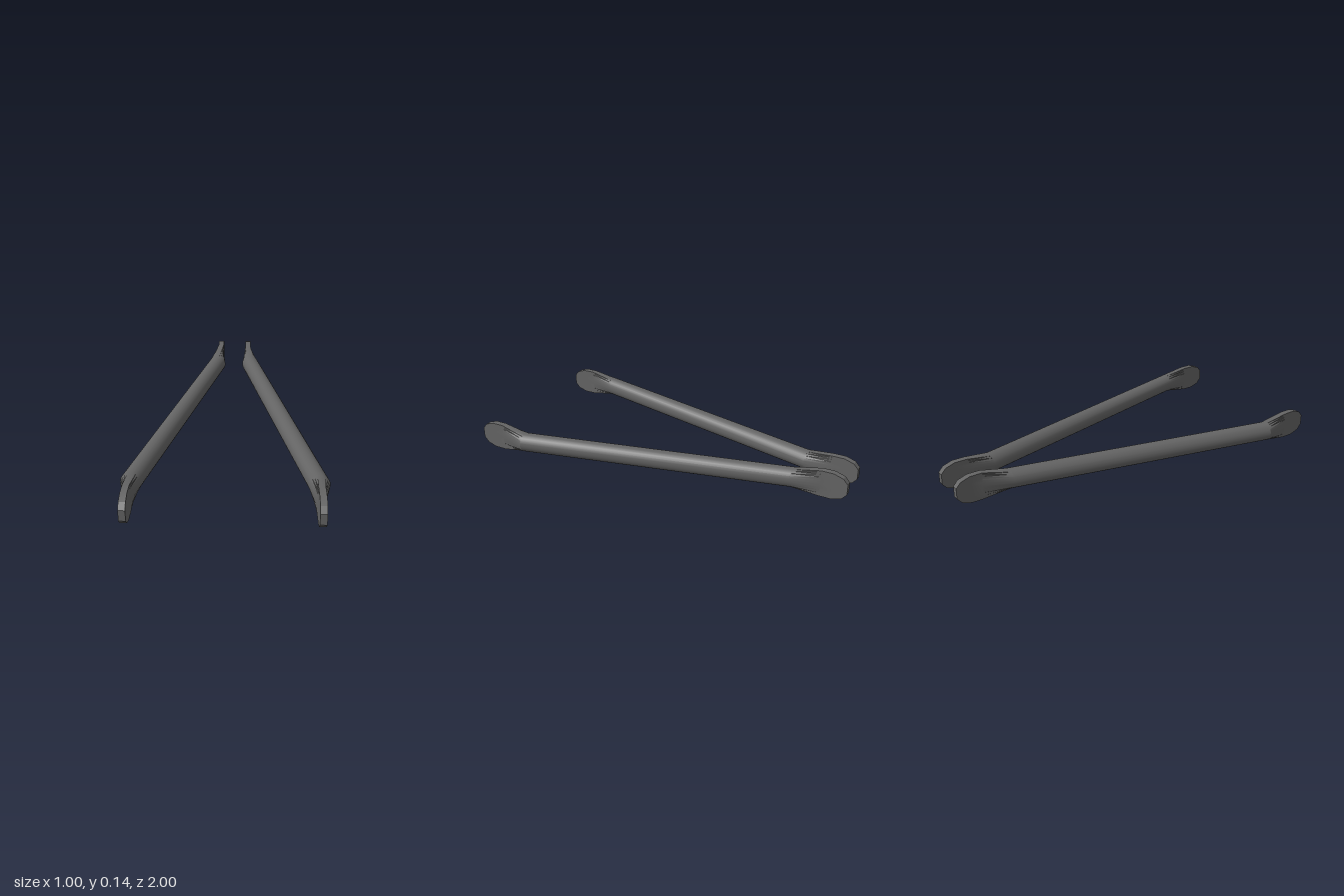
import * as THREE from 'three';
import { toCreasedNormals } from 'three/addons/utils/BufferGeometryUtils.js';

const SIDES = 24;
const RADIUS = 0.052;
const MID_Y = 0.0725;
const HALF_PLATE = 0.0165;
const CORNER = Math.sin(Math.PI / 2 - (2 * Math.PI) / SIDES);

// Cross-section outline: a circle for the tube, a thin upright rectangle for the ends
function section({ x, z, h }) {
  const ring = [];
  for (let j = 0; j < SIDES; j++) {
    const a = (j / SIDES) * Math.PI * 2;
    const c = Math.cos(a), s = Math.sin(a);
    if (h) {
      const px = Math.abs(c) < 1e-6 ? 0 : Math.sign(c) * HALF_PLATE;
      const py = h * Math.max(-1, Math.min(1, s / CORNER));
      ring.push([x + px, MID_Y + py, z]);
    } else {
      ring.push([x + RADIUS * c, MID_Y + RADIUS * s, z]);
    }
  }
  return ring;
}

// Skin the sections in order of rising z and close both ends
function loft(stations) {
  const rings = stations.map(section);
  const pos = [];
  const tri = (...pts) => pts.forEach((p) => pos.push(...p));
  const last = rings.length - 1;
  const centre = (s) => [s.x, MID_Y, s.z];
  for (let j = 0; j < SIDES; j++) {
    const k = (j + 1) % SIDES;
    for (let i = 0; i < last; i++) {
      const a = rings[i][j], b = rings[i][k], c = rings[i + 1][k], d = rings[i + 1][j];
      tri(a, b, c);
      tri(a, c, d);
    }
    tri(centre(stations[0]), rings[0][k], rings[0][j]);
    tri(centre(stations[last]), rings[last][j], rings[last][k]);
  }
  const geo = new THREE.BufferGeometry();
  geo.setAttribute('position', new THREE.Float32BufferAttribute(pos, 3));
  return toCreasedNormals(geo, 0.4);
}

export function createModel() {
  const group = new THREE.Group();
  group.name = 'rodPair';
  const metal = new THREE.MeshStandardMaterial({ color: 0x646464 });
  metal.name = 'dark grey metal';

  // Rounded tip of a flattened end: distance along z and half height
  const tip = [[0.86, 0.0725], [0.925, 0.0725], [0.975, 0.056], [1, 0.028]];

  for (const side of [1, -1]) {
    const stations = [
      ...tip.map(([z, h]) => ({ x: side * 0.087, z: -z, h })).reverse(),
      { x: side * 0.106, z: -0.715 },
      { x: side * 0.446, z: 0.715 },
      ...tip.map(([z, h]) => ({ x: side * 0.445, z, h })),
    ];
    const rod = new THREE.Mesh(loft(stations), metal);
    rod.name = side > 0 ? 'leftRod' : 'rightRod';
    group.add(rod);
  }
  return group;
}
